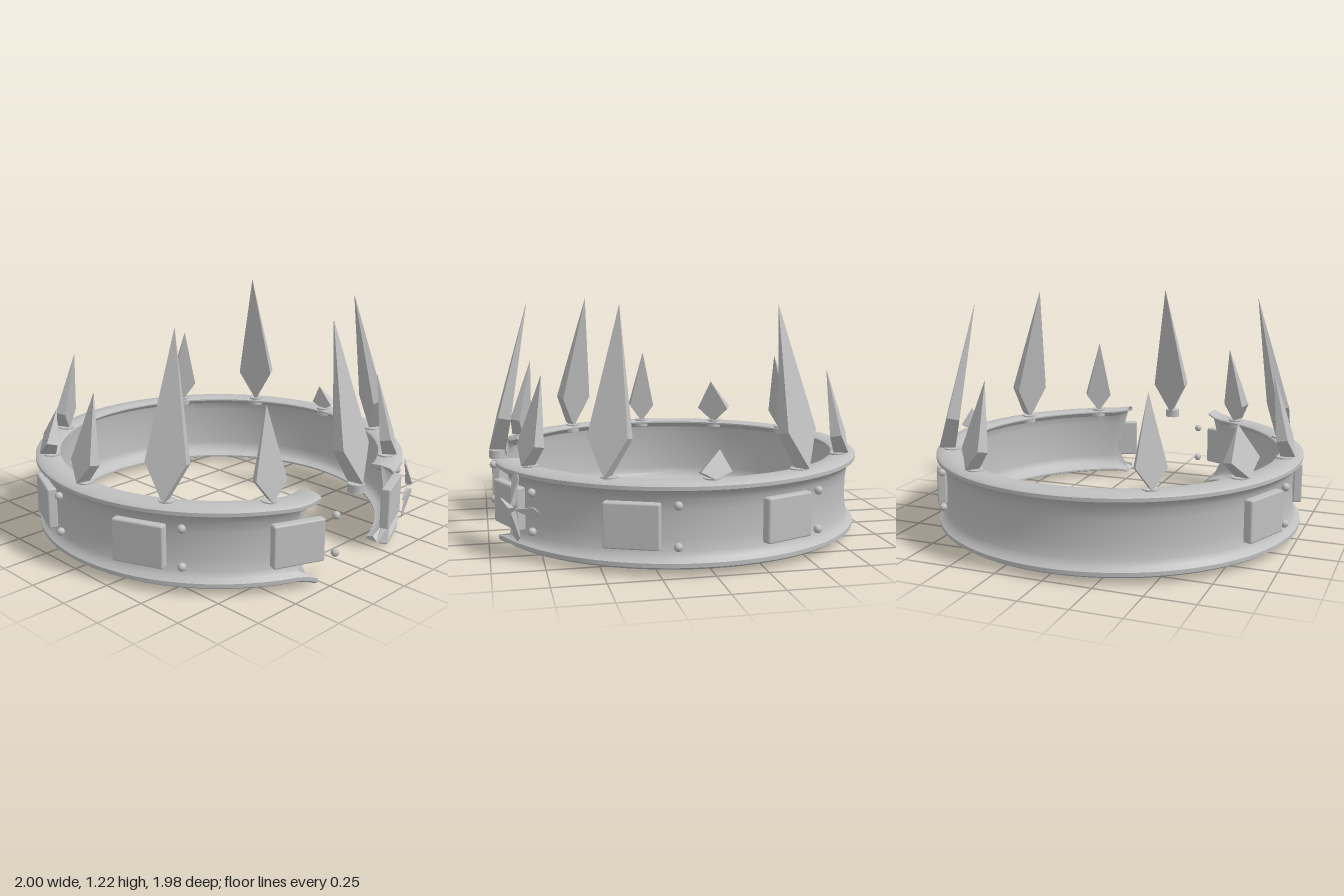
import * as THREE from 'three';
import { toCreasedNormals } from 'three/addons/utils/BufferGeometryUtils.js';
import { RoundedBoxGeometry } from 'three/addons/geometries/RoundedBoxGeometry.js';
import { ConvexGeometry } from 'three/addons/geometries/ConvexGeometry.js';

const rad = THREE.MathUtils.degToRad;
const V = (x, y, z) => new THREE.Vector3(x, y, z);

// Kite-faced wedge from a to b: widest at fraction f, thick at a and sharp at b
function blade(a, b, f, side, width, depth) {
  const mid = a.clone().lerp(b, f);
  const out = side.clone().cross(b.clone().sub(a)).normalize();
  const points = [b];
  for (const j of [-0.5, 0.5]) {
    points.push(a.clone().addScaledVector(out, j * depth));
    for (const i of [-0.5, 0.5]) {
      points.push(mid.clone().addScaledVector(side, i * width).addScaledVector(out, j * depth * (1 - f)));
    }
  }
  return new ConvexGeometry(points);
}

// Thin wall with flanged rims swept around the ring, with torn ends at the front
function bandGeometry() {
  const profile = [
    [0.87, 0.036], [0.88, 0.031], [0.93, 0.028], [0.975, 0.03], [0.993, 0.042], [0.993, 0.062], [0.97, 0.08],
    [0.957, 0.11], [0.95, 0.17], [0.948, 0.23], [0.95, 0.3], [0.957, 0.35], [0.972, 0.38],
    [1, 0.4], [1, 0.418], [0.985, 0.43], [0.93, 0.435], [0.88, 0.431], [0.87, 0.426],
    [0.87, 0.418], [0.905, 0.408], [0.928, 0.385], [0.936, 0.34], [0.936, 0.12], [0.928, 0.08], [0.905, 0.056], [0.87, 0.046],
  ];
  const shape = new THREE.Shape(profile.map(([r, y]) => new THREE.Vector2(r, y)));
  const geo = new THREE.ExtrudeGeometry(shape, { depth: 1, steps: 108, bevelEnabled: false });
  const p = geo.attributes.position;
  for (let i = 0; i < p.count; i++) {
    const r = p.getX(i), y = p.getY(i), t = p.getZ(i);
    const flange = Math.abs(y - 0.23) > 0.16;
    const end = flange ? 17.5 - (r - 0.93) * 14 : 22;
    const angle = THREE.MathUtils.lerp(360 - end, end, t);
    // flanges curl away from the web at the torn ends
    const near = Math.max(0, 1 - Math.min(angle - end, 360 - end - angle) / 7);
    const curl = flange ? near * near * (t < 0.5 ? 0.028 : 0.01) : 0;
    p.setXYZ(i, r * Math.sin(rad(angle)), y + Math.sign(y - 0.23) * curl, r * Math.cos(rad(angle)));
  }
  return toCreasedNormals(geo, 0.6);
}

export function createModel() {
  const crown = new THREE.Group();
  crown.name = 'brokenCrown';
  const metal = new THREE.MeshStandardMaterial({ color: 0xc0c0c0 });
  metal.name = 'grey metal';

  const add = (parent, name, geo) => {
    const mesh = new THREE.Mesh(geo, metal);
    mesh.name = name;
    parent.add(mesh);
    return mesh;
  };
  // Group facing outward at an angle measured from the front
  const station = (name, deg) => {
    const g = new THREE.Group();
    g.name = name;
    g.rotation.y = rad(deg);
    crown.add(g);
    return g;
  };

  add(crown, 'band', bandGeometry());

  // Spikes every 30 degrees, alternately tall and short; the rear one is lost
  const across = V(1, 0, 0);
  for (let deg = -150; deg <= 150; deg += 30) {
    const tall = deg % 60 === 0;
    const g = station(tall ? 'tallSpike' : 'shortSpike', deg);
    let geo;
    if (deg === -120) geo = blade(V(0, 0.435, 0.94), V(0.015, 0.69, 0.88), 0.34, across, 0.195, 0.085);
    else if (deg === 90) geo = blade(V(0, 0.435, 0.94), V(0.035, 0.568, 0.912), 0.25, across, 0.145, 0.07);
    else if (tall) geo = blade(V(0, 0.435, 0.942), V(0, 1.222, 0.77), 0.23, across, 0.2, 0.085);
    else geo = blade(V(0, 0.435, 0.935), V(0, 0.877, 0.847), 0.23, across, 0.15, 0.075);
    add(g, 'spikeBody', geo);
    const peg = new THREE.CylinderGeometry(0.042, 0.042, 0.044, 10);
    add(g, 'spikePeg', toCreasedNormals(peg, 0.8)).position.set(0, 0.418, deg === 0 ? 0.942 : 0.915);
  }

  // Square plates with a pair of rivets beside each
  for (const deg of [-112.5, -67.5, -22.5, 22.5, 67.5, 112.5]) {
    const plate = new RoundedBoxGeometry(0.268, 0.218, 0.05, 1, 0.01);
    add(station('plateMount', deg), 'plate', plate).position.set(0, 0.23, 0.97);
    const rivets = station('rivetPair', deg + 12.5);
    for (const y of [0.134, 0.326]) {
      add(rivets, 'rivet', new THREE.SphereGeometry(0.021, 12, 8)).position.set(0, y, 0.975);
    }
  }

  // Four-petal cross on the front left, its tips bent back towards the band
  const cross = station('crossOrnament', 32);
  for (const s of [-1, 1]) {
    add(cross, 'sidePetal', blade(V(s * 0.015, 0.252, 1.045), V(s * 0.185, 0.252, 1.015), 0.7, V(0, 1, 0), 0.05, 0.03));
    add(cross, 'uprightPetal', blade(V(0, 0.252 + s * 0.015, 1.045), V(-0.02, 0.252 + s * 0.175, 1.01), 0.8, across, 0.055, 0.03));
  }

  return crown;
}
